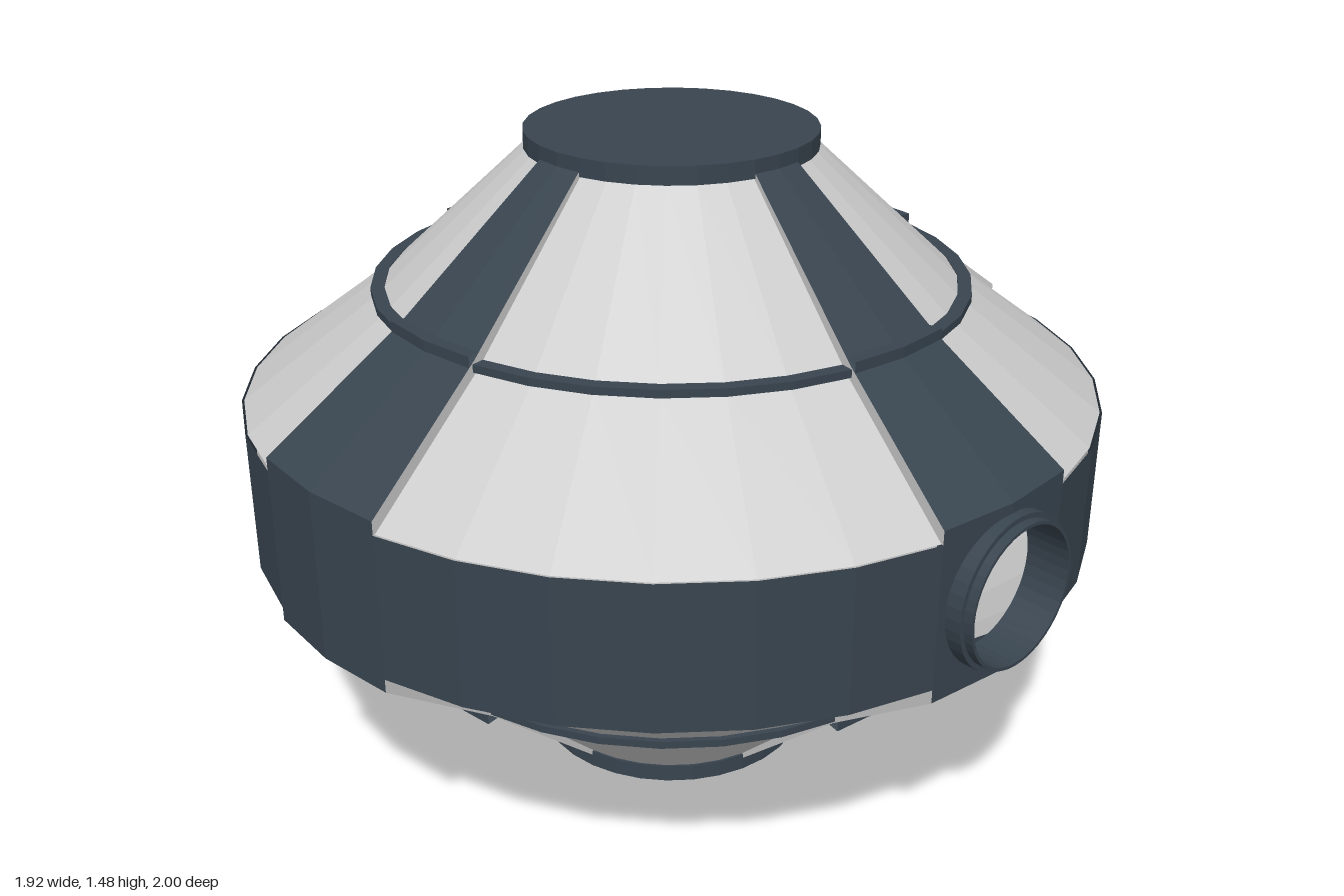
import * as THREE from 'three';

const grey = new THREE.MeshStandardMaterial({ color: 0xcccccc, flatShading: true, side: THREE.DoubleSide });
const dark = new THREE.MeshStandardMaterial({ color: 0x38444f, flatShading: true, side: THREE.DoubleSide });

const MID = 0.74;            // height of the equator
const STEP = Math.PI / 16;   // one of 32 facets
const R = 0.96;              // band radius
const HOLE = 0.15;           // port radius

const vec = (pts) => pts.map(([x, y]) => new THREE.Vector2(x, y));

function add(parent, name, geometry, material) {
  const mesh = new THREE.Mesh(geometry, material);
  mesh.name = name;
  parent.add(mesh);
  return mesh;
}

// Lathe arc of n facets starting at angle a
const arc = (pts, a = 0, n = 32) => new THREE.LatheGeometry(vec(pts), n, a, n * STEP);

// Closed rectangular section
const section = (r0, r1, y0, y1) => [[r0, y0], [r1, y0], [r1, y1], [r0, y1], [r0, y0]];

// Half of a two-facet band panel with a half-round notch
function panelGeometry(radius, depth) {
  const w = radius * Math.sin(STEP);
  const s = new THREE.Shape();
  s.moveTo(0, -0.16);
  s.lineTo(w, -0.16);
  s.lineTo(w, 0.16);
  s.lineTo(0, 0.16);
  s.lineTo(0, HOLE);
  s.absarc(0, 0, HOLE, Math.PI / 2, -Math.PI / 2, true);
  s.lineTo(0, -0.16);
  const g = new THREE.ExtrudeGeometry(s, { depth, bevelEnabled: false, curveSegments: 20 });
  const p = g.attributes.position;
  for (let i = 0; i < p.count; i++) {
    p.setZ(i, p.getZ(i) + radius - depth - p.getX(i) * Math.tan(STEP / 2));
  }
  g.computeVertexNormals();
  return g;
}

// Raised rib over the cone: dark skin with pale side walls
const ribProfile = [[0.31, 1.42], [0.64, 1.12], [0.93, 0.9], [0.96, 0.9], [0.96, 0.93],
  [0.655, 1.155], [0.32, 1.45], [0.31, 1.42]];

function rib(angle) {
  const g = new THREE.Group();
  g.name = 'rib';
  add(g, 'ribSkin', arc(ribProfile, -STEP, 2), dark);
  for (const side of [-1, 1]) {
    const wall = add(g, 'ribSideWall', new THREE.ShapeGeometry(new THREE.Shape(vec(ribProfile))), grey);
    wall.rotation.y = side * STEP - Math.PI / 2;
  }
  add(g, 'ringClamp', arc(section(0.64, 0.672, 1.125, 1.166), -STEP, 2), dark);
  g.rotation.y = angle;
  return g;
}

// Upper half; reused upside down for the lower half
function half(name) {
  const g = new THREE.Group();
  g.name = name;
  add(g, 'coneShell', arc([[0.955, 0.9], [0.645, 1.133], [0.315, 1.44], [0, 1.44]]), grey);
  const cap = add(g, 'endCap', new THREE.CylinderGeometry(0.32, 0.32, 0.04, 32), dark);
  cap.position.y = 1.46;
  add(g, 'hoop', arc(section(0.632, 0.662, 1.13, 1.147)), dark);
  for (let i = 0; i < 4; i++) g.add(rib(i * Math.PI / 2));
  return g;
}

// Round port with its surrounding panel
function port(name, angle) {
  const g = new THREE.Group();
  g.name = name;
  for (const side of [-1, 1]) {
    const panel = add(g, 'portPanel', panelGeometry(R, 0.015), dark);
    const lining = add(g, 'portLining', panelGeometry(0.944, 0.004), grey);
    panel.scale.x = lining.scale.x = side;
  }
  const collar = [[HOLE, 0.9], [0.158, 0.9], [0.158, 0.93], [0.168, 0.93], [0.168, 0.98],
    [0.157, 0.98], [0.157, 1], [HOLE, 1], [HOLE, 0.9]];
  const ring = add(g, 'portCollar', new THREE.LatheGeometry(vec(collar), 40), dark);
  ring.rotation.x = Math.PI / 2;
  g.position.y = MID;
  g.rotation.y = angle;
  return g;
}

export function createModel() {
  const model = new THREE.Group();
  model.name = 'station';

  model.add(half('upperHalf'));
  const lower = half('lowerHalf');
  lower.scale.y = -1;
  lower.position.y = 2 * MID;
  model.add(lower);

  // Equator band, left open at the two ports
  for (const a of [STEP, Math.PI + STEP]) {
    add(model, 'band', arc([[R, 0.58], [R, 0.9]], a, 14), dark);
    add(model, 'bandLining', arc([[0.94, 0.58], [0.94, 0.9]], a, 14), grey);
  }
  model.add(port('frontPort', 0), port('backPort', Math.PI));
  return model;
}
